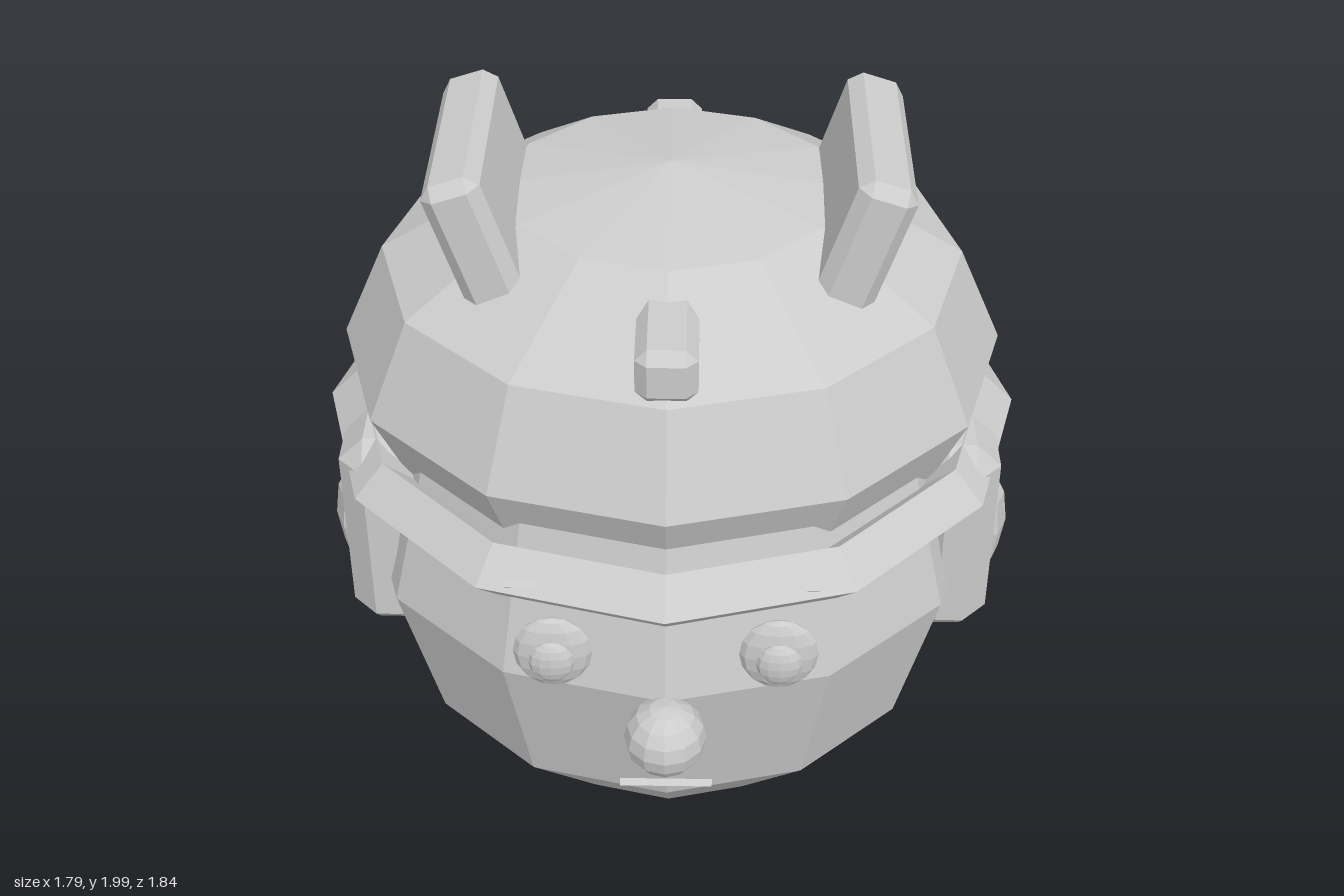
import * as THREE from 'three';
import { ConvexGeometry } from 'three/addons/geometries/ConvexGeometry.js';

const material = new THREE.MeshStandardMaterial({ color: 0xcccccc, flatShading: true });

function part(group, name, geometry, x, y, z) {
  const mesh = new THREE.Mesh(geometry, material);
  mesh.name = name;
  mesh.position.set(x, y, z);
  group.add(mesh);
  return mesh;
}

// Faceted ellipsoid given by its three radii
function ellipsoid(rx, ry, rz, around = 12, rings = 6) {
  return new THREE.SphereGeometry(1, around, rings).scale(rx, ry, rz);
}

// Box with every edge chamfered by b
function chamferBox(w, h, d, b) {
  const points = [];
  for (const sx of [-1, 1]) for (const sy of [-1, 1]) for (const sz of [-1, 1]) {
    const x = w / 2, y = h / 2, z = d / 2;
    points.push(
      new THREE.Vector3(sx * x, sy * (y - b), sz * (z - b)),
      new THREE.Vector3(sx * (x - b), sy * y, sz * (z - b)),
      new THREE.Vector3(sx * (x - b), sy * (y - b), sz * z)
    );
  }
  return new ConvexGeometry(points);
}

// Thin four-sided bar lying along x
function bar(length) {
  return new THREE.CylinderGeometry(0.013, 0.013, length, 4).rotateZ(Math.PI / 2);
}

export function createModel() {
  const model = new THREE.Group();
  model.name = 'helmetedHead';

  // Head and face
  part(model, 'head', ellipsoid(0.8, 0.835, 0.73), 0, 0.845, 0.055);
  part(model, 'nose', ellipsoid(0.1, 0.098, 0.1, 12, 8), 0, 0.765, 0.82);
  part(model, 'mouth', bar(0.23), 0, 0.532, 0.75);

  // Helmet dome, brim and the bar running through the crown
  part(model, 'helmet', ellipsoid(0.84, 0.505, 0.79), 0, 1.35, -0.055);
  part(model, 'brim', new THREE.TorusGeometry(0.81, 0.08, 4, 12).rotateX(Math.PI / 2), 0, 1.167, -0.027);
  part(model, 'crownBar', chamferBox(0.145, 0.14, 1.23, 0.028), 0, 1.675, 0.012);

  // Paired parts
  for (const [side, s] of [['left', 1], ['right', -1]]) {
    part(model, side + 'Eye', ellipsoid(0.095, 0.105, 0.032, 12, 8), s * 0.27, 0.975, 0.75);
    part(model, side + 'Pupil', ellipsoid(0.055, 0.06, 0.025, 12, 8), s * 0.27, 0.978, 0.79);
    part(model, side + 'Brow', bar(0.21), s * 0.27, 1.185, 0.75);
    part(model, side + 'EarGuard', chamferBox(0.2, 0.59, 0.59, 0.065), s * 0.73, 0.95, 0.045);
    part(model, side + 'EarKnob', ellipsoid(0.095, 0.185, 0.095, 8, 6), s * 0.8, 0.845, 0.07);

    // Upright fins leaning outward from the dome
    const fin = part(model, side + 'Fin', chamferBox(0.146, 0.5, 0.585, 0.03), s * 0.433, 1.747, 0.018);
    fin.rotation.z = -s * 0.314;
  }
  return model;
}
